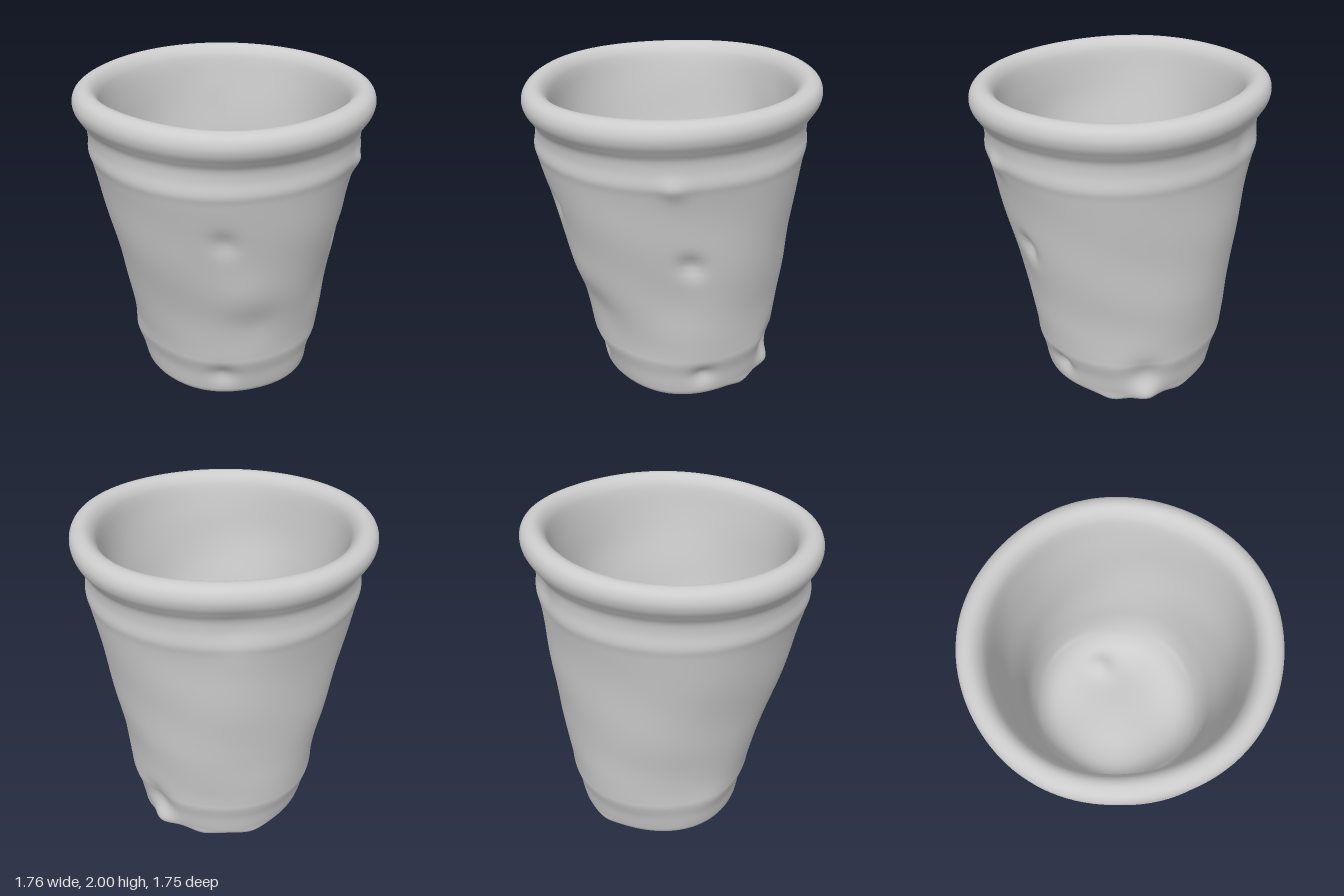
import * as THREE from 'three';
import { mergeVertices } from 'three/addons/utils/BufferGeometryUtils.js';

// Clay cup profile [radius, height]: underside, outer wall, rim, inner wall, floor
const PROFILE = [
  [0, 0.055], [0.2, 0.05], [0.36, 0.04], [0.45, 0.02], [0.5, 0.022], [0.53, 0.05], [0.545, 0.1],
  [0.565, 0.2], [0.595, 0.3], [0.602, 0.36], [0.612, 0.45], [0.637, 0.62], [0.67, 0.8],
  [0.705, 1.0], [0.74, 1.2], [0.773, 1.4], [0.798, 1.53], [0.814, 1.6], [0.806, 1.68],
  [0.812, 1.75], [0.84, 1.8], [0.87, 1.85], [0.878, 1.9], [0.86, 1.945], [0.82, 1.968],
  [0.78, 1.965], [0.745, 1.935], [0.722, 1.88], [0.7, 1.75], [0.67, 1.55], [0.635, 1.35],
  [0.595, 1.12], [0.565, 0.95], [0.52, 0.82], [0.44, 0.73], [0.32, 0.69], [0.16, 0.68], [0, 0.68],
];

// Hand-made marks: [angle from front, height, push outward, size]
const MARKS = [
  [0.67, 1.06, -0.045, 0.07], [-0.66, 1.26, -0.03, 0.07], [0.56, 1.58, 0.02, 0.06],
  [-0.7, 0.2, -0.035, 0.08], [0.75, 0.2, -0.04, 0.07], [1.75, 0.26, -0.04, 0.11],
  [1.78, 0.07, 0.045, 0.08], [-0.35, 0.62, -0.02, 0.16], [-0.5, 0.85, 0.012, 0.16],
  [0.45, 0.75, -0.012, 0.18], [2.6, 1.68, -0.02, 0.12], [-2.0, 0.3, 0.012, 0.14],
];

// Small lumps under the foot: [x, z, size]
const FOOT_LUMPS = [[-0.22, 0.25, 0.09], [0.5, 0.1, 0.09], [0.1, -0.46, 0.09], [0.35, -0.3, 0.08]];
const bell = (d2, size) => Math.exp(-d2 / (size * size));

function shapeVertex(v) {
  const y0 = v.y;
  const radius = Math.hypot(v.x, v.z);
  const angle = Math.atan2(v.x, v.z);
  const outer = radius > 0.001 ? THREE.MathUtils.smoothstep(radius, 0.1, 0.5) : 0;

  // Uneven hand-turned wall
  let push = outer * (0.006 * Math.sin(2 * angle + 3 * y0) + 0.004 * Math.sin(5 * angle - 4 * y0)
    + 0.003 * Math.sin(11 * y0 + 3 * angle));
  for (const [a, y, amount, size] of MARKS) {
    const r = 0.53 + 0.175 * y;
    const d2 = (v.x - r * Math.sin(a)) ** 2 + (v.z - r * Math.cos(a)) ** 2 + (y0 - y) ** 2;
    push += amount * bell(d2, size);
  }
  v.x += push * Math.sin(angle);
  v.z += push * Math.cos(angle);

  // Foot lumps and wavy inner floor
  if (y0 < 0.06) {
    for (const [x, z, size] of FOOT_LUMPS) v.y -= 0.03 * bell((v.x - x) ** 2 + (v.z - z) ** 2, size);
    v.y = Math.max(v.y, 0);
  } else if (y0 < 0.85 && radius < 0.53) {
    v.y += 0.015 * Math.sin(7 * v.x + 2) * Math.cos(8 * v.z);
    v.y += 0.04 * bell((v.x - 0.3) ** 2 + (v.z + 0.12) ** 2, 0.08);
  }

  // Leaning body and tilted, slightly wavy rim
  const lean = 1 - THREE.MathUtils.smoothstep(y0, 0.15, 1.65);
  const top = THREE.MathUtils.smoothstep(y0, 1.2, 1.9);
  v.y += top * (0.018 * v.x - 0.027 * v.z + 0.006 * Math.sin(3 * angle));
  v.x += 0.065 * lean;
  v.z -= 0.06 * lean;
}

export function createModel() {
  const group = new THREE.Group();
  group.name = 'clayCup';

  const curve = new THREE.SplineCurve(PROFILE.map(([r, y]) => new THREE.Vector2(r, y)));
  const points = curve.getPoints((PROFILE.length - 1) * 5);
  points.forEach((p) => { p.x = Math.max(p.x, 0); });
  points[0].x = points[points.length - 1].x = 0;

  // Weld the lathe seam so the clay shades smoothly
  let geometry = new THREE.LatheGeometry(points, 128);
  geometry.deleteAttribute('uv');
  geometry.deleteAttribute('normal');
  geometry = mergeVertices(geometry, 1e-4);

  const position = geometry.attributes.position;
  const v = new THREE.Vector3();
  for (let i = 0; i < position.count; i++) {
    v.fromBufferAttribute(position, i);
    shapeVertex(v);
    position.setXYZ(i, v.x, v.y, v.z);
  }
  geometry.computeVertexNormals();

  const cup = new THREE.Mesh(geometry, new THREE.MeshStandardMaterial({ color: 0xcccccc, roughness: 0.9 }));
  cup.name = 'cupBody';
  group.add(cup);
  return group;
}
